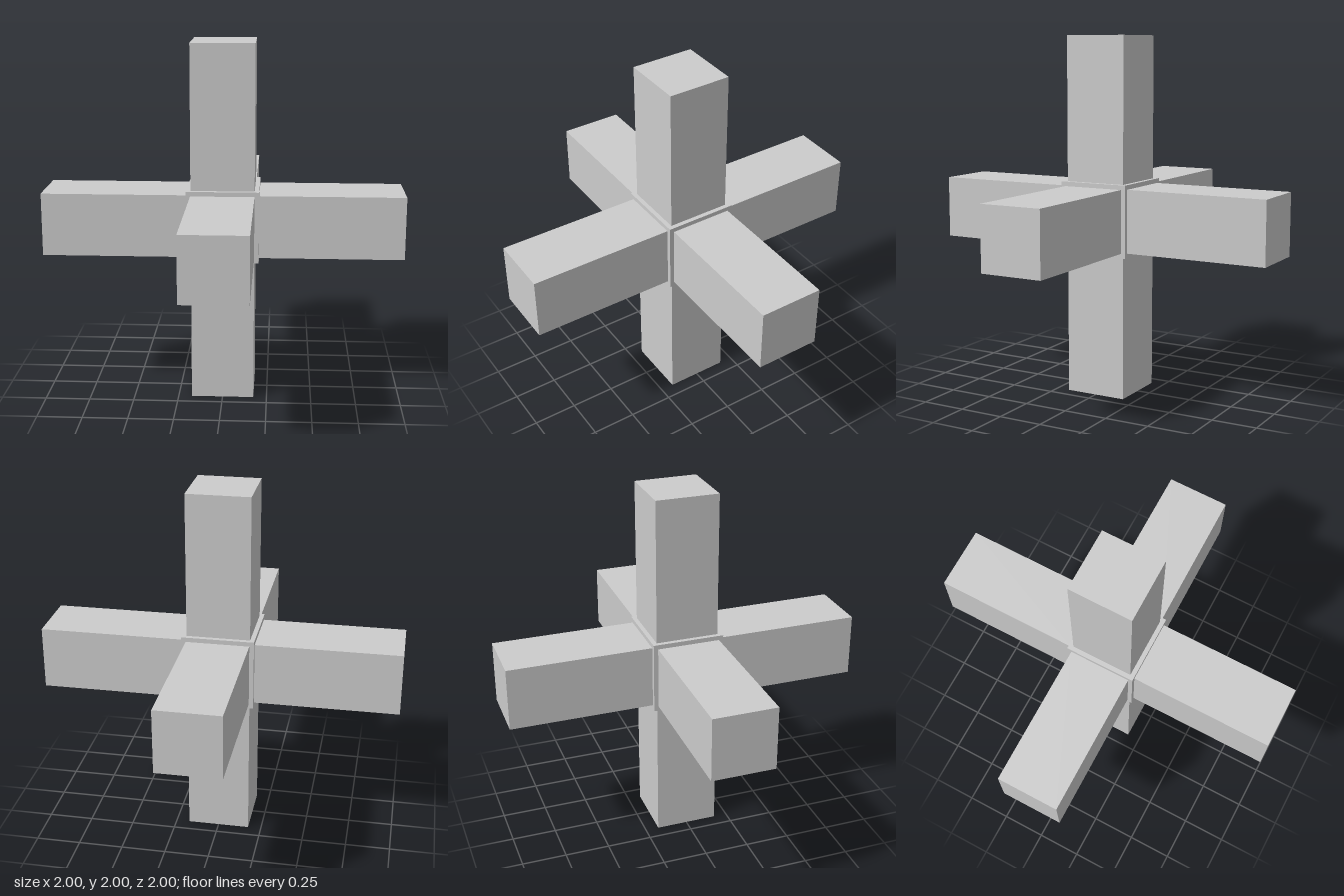
import * as THREE from 'three';

export function createModel() {
  const model = new THREE.Group();
  model.name = 'sixArmCross';
  const material = new THREE.MeshStandardMaterial({ color: 0xcccccc, flatShading: true });

  const hubSize = 0.4, armWidth = 0.35, reach = 1, centreY = 1;

  // Central cube
  const hub = new THREE.Mesh(new THREE.BoxGeometry(hubSize, hubSize, hubSize), material);
  hub.name = 'hub';
  hub.position.y = centreY;
  model.add(hub);

  // One square arm per hub face, running from the face to the full reach
  const armLength = reach - hubSize / 2;
  const directions = {
    leftArm: [1, 0, 0], rightArm: [-1, 0, 0],
    topArm: [0, 1, 0], bottomArm: [0, -1, 0],
    frontArm: [0, 0, 1], backArm: [0, 0, -1],
  };
  for (const [name, dir] of Object.entries(directions)) {
    const size = dir.map((d) => (d ? armLength : armWidth));
    const arm = new THREE.Mesh(new THREE.BoxGeometry(...size), material);
    arm.name = name;
    arm.position.set(...dir).multiplyScalar((hubSize / 2 + reach) / 2);
    arm.position.y += centreY;
    model.add(arm);
  }
  return model;
}
